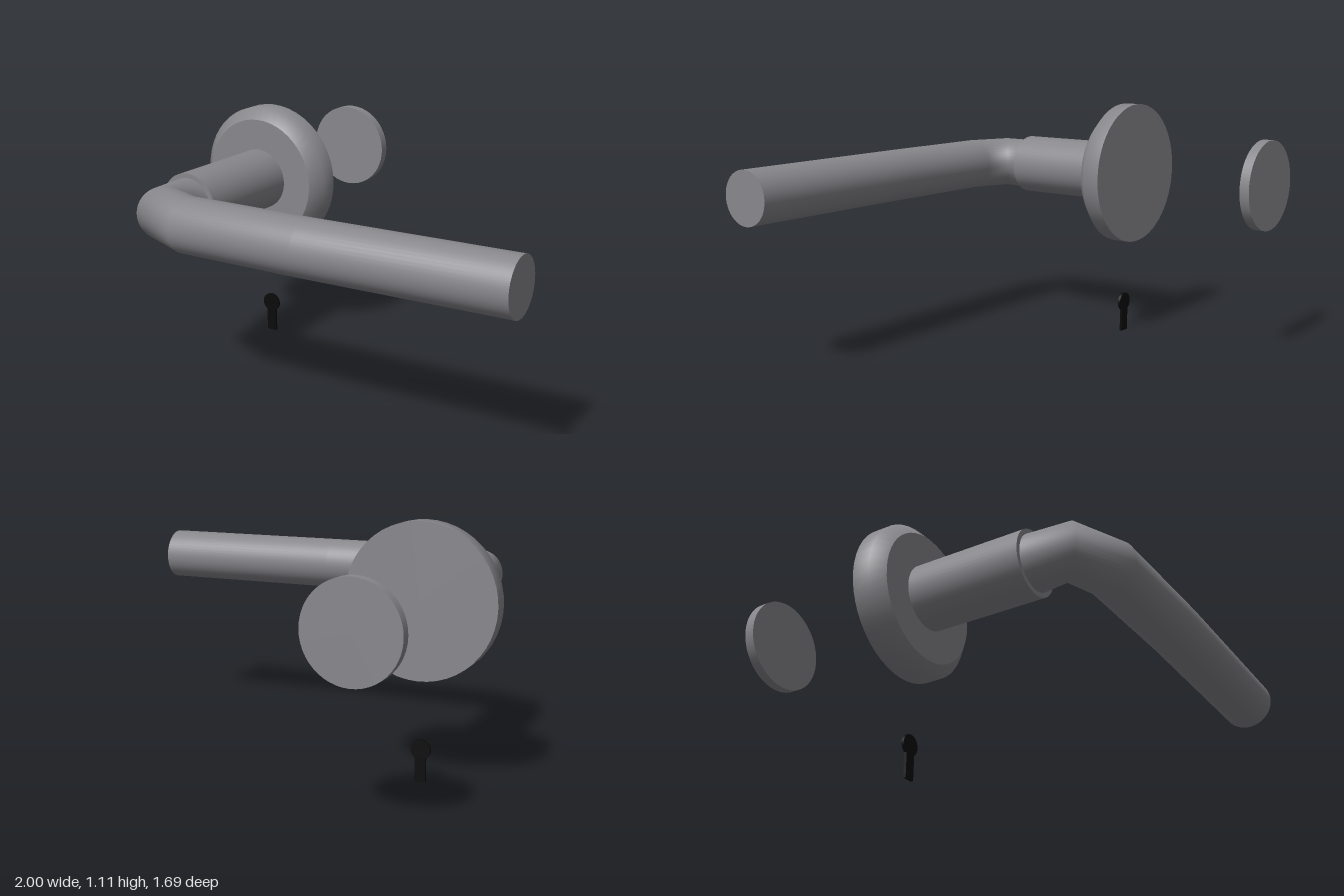
import * as THREE from 'three';

const AX = -0.668, AY = 0.783; // spindle axis
const SEG = 48;

export function createModel() {
  const group = new THREE.Group();
  const metal = new THREE.MeshStandardMaterial({ color: 0x88878c });
  metal.name = 'grey metal';
  const black = new THREE.MeshStandardMaterial({ color: 0x0a0a0a });
  black.name = 'black';

  const add = (name, geometry, material = metal) => {
    const mesh = new THREE.Mesh(geometry, material);
    mesh.name = name;
    group.add(mesh);
    return mesh;
  };

  // Cylinder along the spindle axis between two depths
  const axial = (name, r, z0, z1) =>
    add(name, new THREE.CylinderGeometry(r, r, z1 - z0, SEG).rotateX(Math.PI / 2)
      .translate(AX, AY, (z0 + z1) / 2));

  // Round rose plate with a bevelled front rim
  const profile = [[0.331, -0.145], [0.331, -0.067], [0.28, -0.017]]
    .map(([r, z]) => new THREE.Vector2(r, z));
  add('roseRim', new THREE.LatheGeometry(profile, SEG).rotateX(Math.PI / 2).translate(AX, AY, 0));
  add('roseFront', new THREE.CircleGeometry(0.28, SEG).translate(AX, AY, -0.017));
  add('roseBack', new THREE.CircleGeometry(0.331, SEG).rotateY(Math.PI).translate(AX, AY, -0.145));

  // Neck and the separate disc behind
  axial('neck', 0.14, -0.017, 0.496);
  axial('backDisc', 0.203, -0.845, -0.8);

  // Lever: mitred tube; each section is centre x, z and inward half-width x, z
  const R = 0.12;
  const sections = [
    [AX, 0.49, 0.12, 0],
    [-0.67, 0.65, 0.09, -0.075],
    [-0.48, 0.725, 0.012, -0.12],
    [0.1, 0.725, -0.002, -0.12],
    [0.997, 0.701, -0.003, -0.12],
  ];
  const positions = [], index = [];
  sections.forEach(([cx, cz, ux, uz], i) => {
    for (let j = 0; j < SEG; j++) {
      const a = (j / SEG) * Math.PI * 2, c = Math.cos(a);
      positions.push(cx + ux * c, AY + R * Math.sin(a), cz + uz * c);
      if (i === sections.length - 1) continue;
      const p = i * SEG + j, q = i * SEG + (j + 1) % SEG;
      index.push(p, q, p + SEG, q, q + SEG, p + SEG);
    }
  });
  const lever = new THREE.BufferGeometry();
  lever.setAttribute('position', new THREE.Float32BufferAttribute(positions, 3));
  lever.setIndex(index);
  lever.computeVertexNormals();
  add('lever', lever);
  add('leverEnd', new THREE.CircleGeometry(R, SEG).rotateY(Math.PI / 2 + 0.026)
    .translate(0.997, AY, 0.701));

  // Keyhole: round head over a straight slot
  const r = 0.044, w = 0.024, cy = 0.143, start = Math.asin(w / r);
  const hole = new THREE.Shape();
  hole.moveTo(-w, 0);
  hole.lineTo(w, 0);
  hole.absarc(0, cy, r, -Math.PI / 2 + start, Math.PI * 1.5 - start, false);
  hole.closePath();
  add('keyhole', new THREE.ExtrudeGeometry(hole, { depth: 0.012, bevelEnabled: false, curveSegments: 24 })
    .translate(AX, 0, -0.09), black);

  return group;
}
